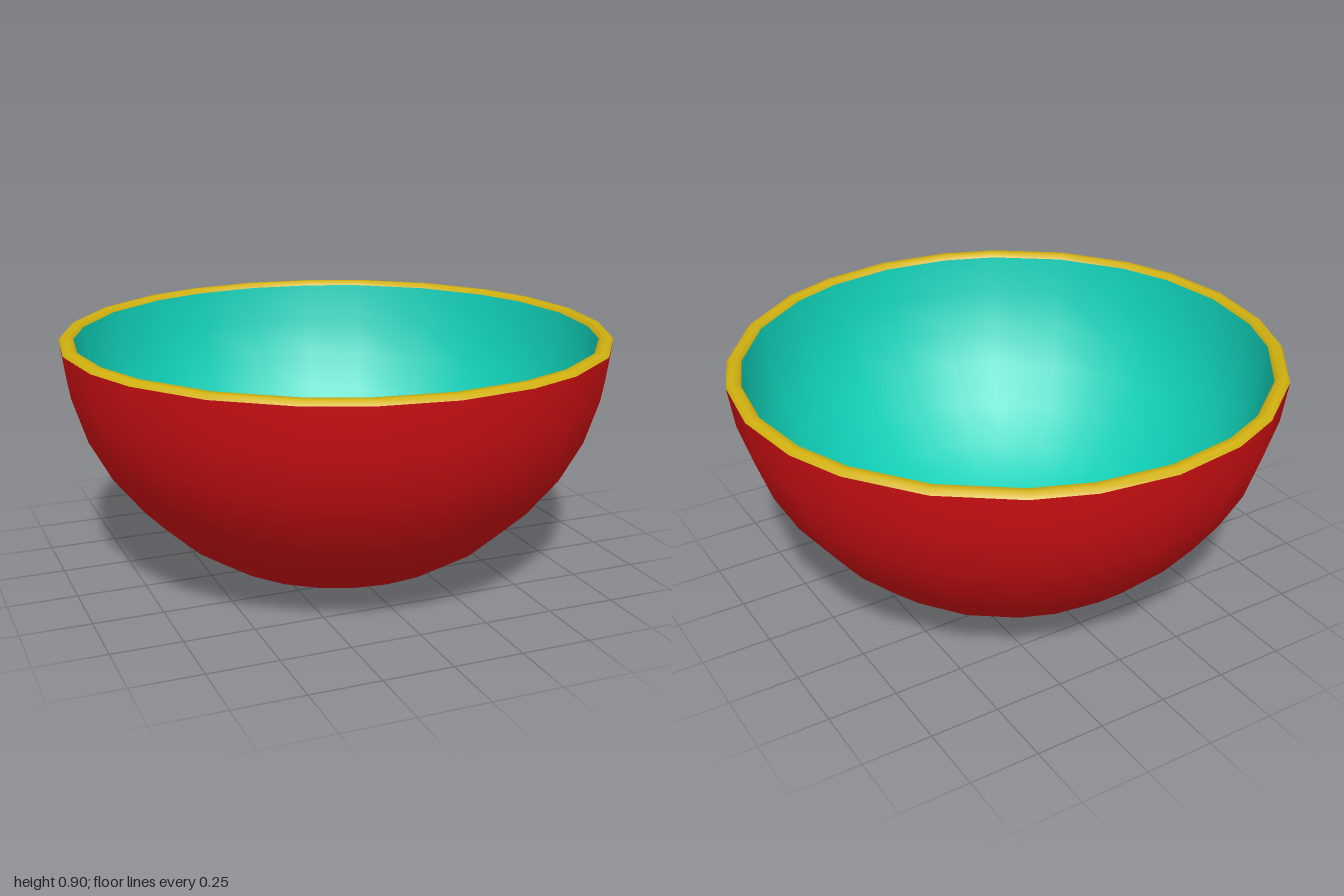
import * as THREE from 'three';

const SIDES = 24;
// Slightly uneven spacing of the sides, repeated each quarter turn (degrees)
const QUARTER = [0, 15.6, 28, 45, 62, 74.4];

// Smooth lathe whose sides follow the uneven spacing
function turned(name, profile, color) {
  const points = profile.map(([r, y]) => new THREE.Vector2(r, y));
  const geometry = new THREE.LatheGeometry(points, SIDES);
  const { position, normal } = geometry.attributes;
  const up = new THREE.Vector3(0, 1, 0);
  const v = new THREE.Vector3();
  for (let k = 0; k < position.count; k++) {
    const side = Math.floor(k / points.length);
    const shift = THREE.MathUtils.degToRad(QUARTER[side % 6] - (side % 6) * 15);
    for (const attribute of [position, normal]) {
      v.fromBufferAttribute(attribute, k).applyAxisAngle(up, shift);
      attribute.setXYZ(k, v.x, v.y, v.z);
    }
  }
  const mesh = new THREE.Mesh(geometry, new THREE.MeshStandardMaterial({ color }));
  mesh.name = name;
  return mesh;
}

export function createModel() {
  const bowl = new THREE.Group();
  bowl.name = 'bowl';
  const red = 0xd01013, teal = 0x10d0b8, yellow = 0xd0b010;

  // Outer wall, from foot to rim
  const outer = [[0.31, 0], [0.47, 0.07], [0.61, 0.16], [0.74, 0.28],
    [0.85, 0.42], [0.93, 0.57], [0.98, 0.73], [1, 0.88]];
  bowl.add(turned('outerWall', outer, red));

  // Flat underside
  bowl.add(turned('base', [[0, 0], [0.31, 0]], red));

  // Rounded lip
  bowl.add(turned('rim', [[1, 0.88], [0.985, 0.897], [0.96, 0.897], [0.947, 0.88]], yellow));

  // Inner wall, from rim down to the middle of the floor
  const inner = [[0.947, 0.88], [0.93, 0.74], [0.885, 0.59], [0.81, 0.45],
    [0.705, 0.32], [0.58, 0.2], [0.445, 0.12], [0.29, 0.055], [0, 0.05]];
  bowl.add(turned('innerWall', inner, teal));

  return bowl;
}
